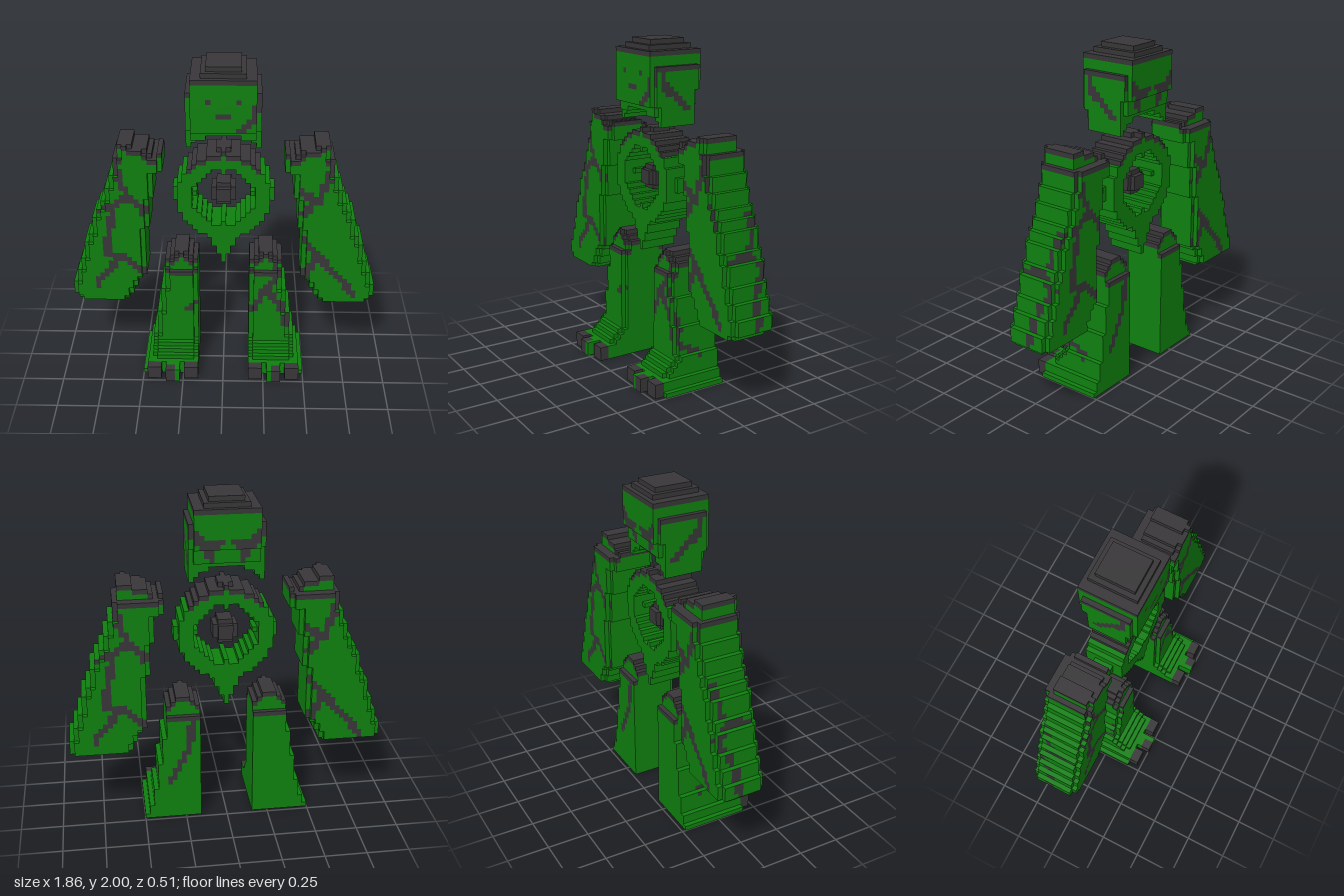
import * as THREE from 'three';

const U = 2 / 70; // cell size

const green = new THREE.MeshStandardMaterial({ color: 0x0f800f });
green.name = 'mossGreen';
const dark = new THREE.MeshStandardMaterial({ color: 0x383638 });
dark.name = 'charcoal';

// Number of list entries that satisfy a test: turns step heights into widths
const count = (list, test) => list.filter(test).length;

// Is cell (p, q) on one of the crack polylines?
function onCrack(lines, p, q) {
  for (const line of lines || []) {
    for (let n = 0; n + 1 < line.length; n++) {
      const [ax, ay] = line[n], [bx, by] = line[n + 1];
      const dx = bx - ax, dy = by - ay;
      const t = Math.min(1, Math.max(0, ((p - ax) * dx + (q - ay) * dy) / (dx * dx + dy * dy)));
      if (Math.hypot(p - ax - t * dx, q - ay - t * dy) < 0.78) return true;
    }
  }
  return false;
}

// Builds the outer faces of a cell solid; isDark(cell, axis, sign) picks the colour of each face
function cellMesh(name, inside, isDark) {
  const lists = [[], []];
  for (let i = -33; i <= 33; i++) for (let j = 0; j < 70; j++) for (let k = -9; k < 9; k++) {
    if (!inside(i, j, k)) continue;
    for (let axis = 0; axis < 3; axis++) for (const sign of [-1, 1]) {
      const next = [i, j, k];
      next[axis] += sign;
      if (inside(...next)) continue;
      const corner = (a, b) => {
        const c = [i - 0.5, j, k];
        if (sign > 0) c[axis] += 1;
        c[(axis + 1) % 3] += a;
        c[(axis + 2) % 3] += b;
        return c.map((v) => v * U);
      };
      const A = corner(0, 0), B = corner(1, 0), C = corner(1, 1), D = corner(0, 1);
      const quad = sign > 0 ? [A, B, C, A, C, D] : [A, C, B, A, D, C];
      lists[isDark([i, j, k], axis, sign) ? 1 : 0].push(...quad.flat());
    }
  }
  const geo = new THREE.BufferGeometry();
  geo.setAttribute('position', new THREE.Float32BufferAttribute(lists[0].concat(lists[1]), 3));
  geo.addGroup(0, lists[0].length / 3, 0);
  geo.addGroup(lists[0].length / 3, lists[1].length / 3, 1);
  geo.computeVertexNormals();
  const mesh = new THREE.Mesh(geo, [green, dark]);
  mesh.name = name;
  return mesh;
}

// Dark cap on the topmost cells above a height, cracks on the front, back and sides
function painter(inside, capFrom, cracks) {
  return ([i, j, k], axis, sign) => {
    if (j >= capFrom && !inside(i, j + 1, k)) return true;
    if (axis === 1) return false;
    if (axis === 0) return i * sign > 0 && onCrack(cracks.side, k, j);
    return onCrack(sign > 0 ? cracks.front : cracks.back, Math.abs(i), j);
  };
}

// Head: rounded block, open under the chin
function headInside(i, j, k) {
  const a = Math.abs(i);
  if (j < 53 || j > 69) return false;
  const half = j === 69 ? 3 : j === 68 ? 4 : j > 64 ? 6 : 7;
  const floor = a === 7 ? 53 : a === 6 ? 54 : a >= 4 ? 55 : 56;
  const front = j === 69 ? 1 : j === 68 ? 2 : j >= 57 ? 3 : j >= 55 ? 2 : 1;
  const back = j === 69 ? -7 : j === 68 ? -8 : j >= 60 ? -9 : j >= 57 ? -8 : -7;
  const trim = a === 7 ? 1 : 0;
  return a <= half && j >= floor && k < Math.max(1, front - trim) && k >= Math.min(-7, back + trim);
}

// Arm: slab widening downwards, with an inner shoulder flap
const armOuter = [50, 46, 43, 40, 38, 36, 32, 30, 26, 23, 20];
const armInner = [17, 19, 21, 22, 34, 41, 47, 47];
function armInside(a, j, k) {
  if (j < 16 || j > 52) return false;
  let outer = 21 + count(armOuter, (t) => j < t);
  let inner = 21 - count(armInner, (t) => j >= t);
  if (j === 16) outer--;
  if (j === 50) inner = a === 13 ? 13 : 15;
  if (j === 51) inner = 16;
  if (j === 52) inner = 19;
  if (a < inner || a > outer) return false;
  const edge = a === outer || a === inner;
  const back = j >= 50 || j < 17 ? -7 : edge ? -8 : -9;
  return k >= back && k < (edge ? 0 : 1);
}

// Leg: stepped column with an instep and three toes
const legOuter = [19, 13, 7, 3, 1];
function legInside(a, j, k) {
  if (j < 0 || j > 27 || a < 6) return false;
  if (j < 3 && k >= 6) return a <= 16 && (a - 6) % 4 < 3 && k < (a >= 10 && a <= 12 ? 9 : 8);
  const outer = j > 24 ? 37 - j : 12 + count(legOuter, (t) => j < t);
  const inner = j > 25 ? j - 19 : 6;
  if (a < inner || a > outer) return false;
  const edge = a === outer || a === inner;
  let front = j < 3 ? 6 : j < 6 ? 8 - j : j < 24 ? 2 : 1;
  if (edge && j >= 3) front--;
  const back = j < 24 ? -8 : -7;
  return k >= back && k < front;
}

// Chest ring with studs and a pointed tail
function ringInside(i, j, k) {
  const a = Math.abs(i), y = j - 41, r = Math.hypot(i, y);
  if (k < -7 || k >= 1) return false;
  if (r > 6.4 && r < 9.6) return true;
  const stud = Math.min(a, Math.abs(y)) <= (r > 9 ? 1 : 0) && r > 5.5 && r < 10.6;
  if (stud && k >= -5 && k < -1) return true;
  if (a === 0 && Math.abs(y) > 5 && Math.abs(y) < 11) return true;
  return j >= 26 && j < 35 && r > 6.4 && a <= (j < 32 ? Math.floor((j - 26) / 2) : j - 29);
}

// Core floating in the ring
function coreInside(i, j, k) {
  const a = Math.abs(i), b = Math.abs(j - 41);
  if (a <= 1 && b <= 1) return k >= -6 && k < 0;
  return a <= 2 && b <= 2 && a + b < 4 && k >= -5 && k < -1;
}

// Crack paths in cells: front and back run over (distance from middle, height), side over (depth, height)
const armSide = [
  [[0, 43.6], [0, 49], [-7, 49]], [[0, 36.5], [0, 40]],
  [[-7.4, 38], [-7, 32.5], [-5.2, 30.7], [-1, 30]],
  [[-5.2, 31], [-8.5, 28], [-5.8, 23], [-5.2, 17]],
];
const armCracksRight = [
  [[22, 49], [21.4, 44.6], [19.5, 41], [16.3, 37.2]],
  [[19.5, 41], [27, 36.8]],
  [[22.7, 39], [24, 32.5], [25, 27.5], [21, 26.8], [17, 22.3]],
  [[22, 26.4], [24.6, 23.2], [27.4, 19.5]],
];
const armCracksLeft = [
  [[22, 49], [21.6, 45.5], [19.5, 41.2], [16.2, 36.8]],
  [[15.7, 42.4], [20, 40.5]],
  [[16.8, 30.7], [20, 27], [23.6, 23.2], [28, 17.7]],
  [[20, 27], [17.3, 22.3]],
];
const legCracksLeft = [
  [[11, 24], [11.5, 22.5], [8.8, 19], [6.4, 13.5]],
  [[9.7, 18.5], [12.5, 15], [14, 9]],
];
const legCracksRight = [[[6, 15], [7.5, 14]]];
const legBack = [[[7, 23], [8, 16], [12, 8]]];
const legSide = [[[0, 12.5], [0, 14]], [[0, 8.4], [-2, 7.5], [-4, 6.4]], [[1, 18], [1, 20]]];

export function createModel() {
  const model = new THREE.Group();
  model.name = 'stoneGuardian';

  // Head with hair, eyes and mouth
  const headPaint = painter(headInside, 64, {
    side: [[[0, 64], [-7, 64]], [[0, 64], [0, 61], [-2, 59], [-6, 56]]],
    back: [[[7, 63], [4, 60], [1, 61]], [[4, 60], [3, 57]]],
  });
  const rightCheek = [[[7, 63], [5.6, 59], [3.2, 57]]];
  model.add(cellMesh('head', headInside, (cell, axis, sign) => {
    const [i, j] = cell;
    if (j >= 67) return true;
    if (axis === 2 && sign > 0) {
      if (Math.abs(i) === 3 && j === 63) return true;
      if (Math.abs(i) <= 1 && j === 60) return true;
      if (i > 0 && onCrack(rightCheek, i, j)) return true;
    }
    return headPaint(cell, axis, sign);
  }));

  // Chest
  model.add(cellMesh('chestRing', ringInside, painter(ringInside, 47, {})));
  model.add(cellMesh('chestCore', coreInside, () => true));

  // Arms and legs, mirrored, each with its own cracks
  for (const [side, s] of [['left', 1], ['right', -1]]) {
    const arm = (i, j, k) => armInside(s * i, j, k);
    model.add(cellMesh(side + 'Arm', arm, painter(arm, 49, {
      front: s > 0 ? armCracksLeft : armCracksRight,
      back: s > 0 ? armCracksRight : armCracksLeft,
      side: armSide,
    })));
    const leg = (i, j, k) => legInside(s * i, j, k);
    const legPaint = painter(leg, 23, {
      front: s > 0 ? legCracksLeft : legCracksRight, back: s > 0 ? legBack : [], side: legSide,
    });
    model.add(cellMesh(side + 'Leg', leg, (cell, axis, sign) => {
      const [i, j, k] = cell, a = Math.abs(i);
      const claw = j < 3 && k >= 6 && (a < 10 || a > 12 || (a > 10 && k >= 7));
      return claw || legPaint(cell, axis, sign);
    }));
  }
  return model;
}
